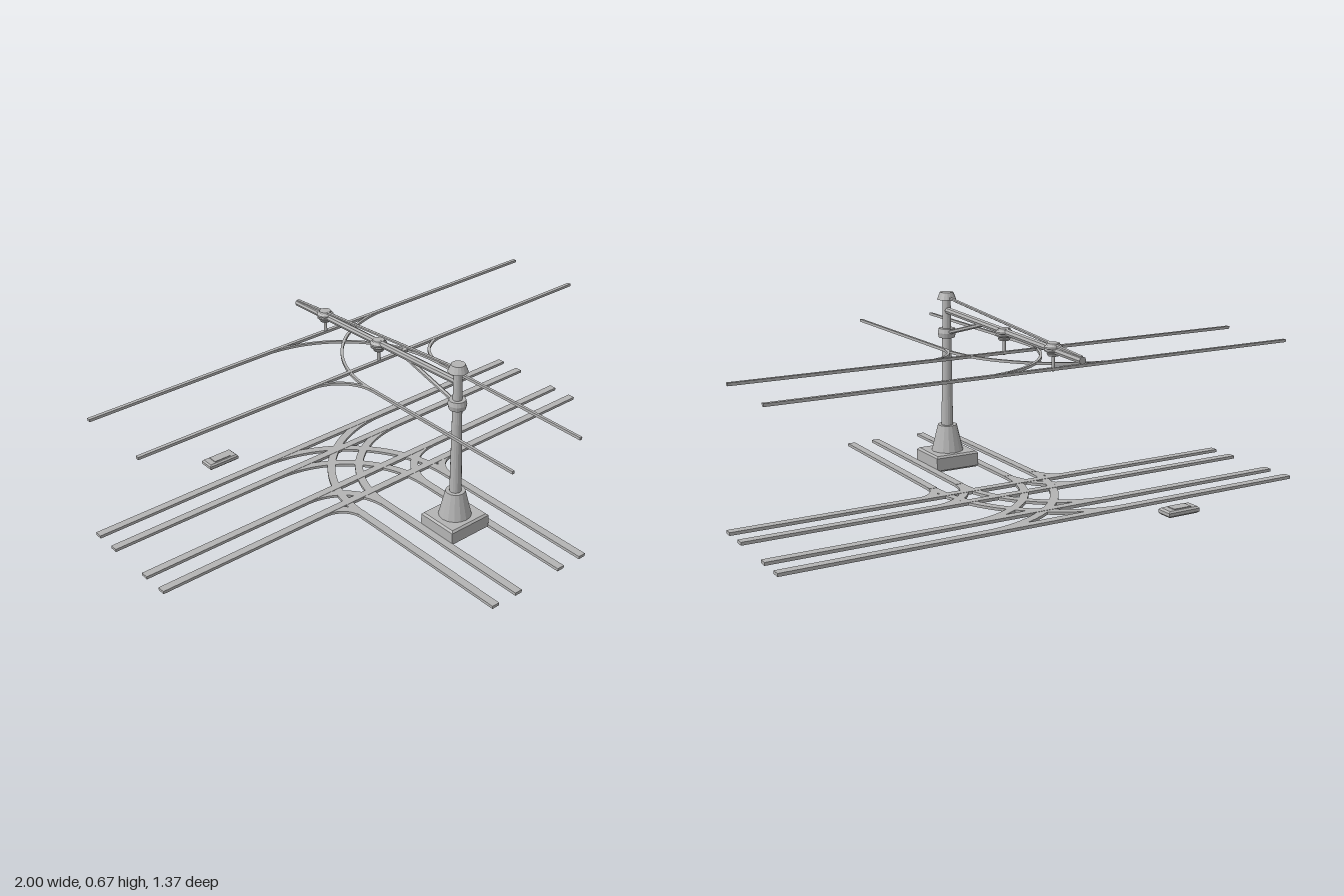
import * as THREE from 'three';

export function createModel() {
  const root = new THREE.Group();
  root.name = 'tramJunction';
  const grey = new THREE.MeshStandardMaterial({ color: 0xb4b4b4 });
  grey.name = 'plain grey';

  const group = (name) => {
    const g = new THREE.Group();
    g.name = name;
    root.add(g);
    return g;
  };
  const add = (parent, name, geometry, x = 0, y = 0, z = 0) => {
    const mesh = new THREE.Mesh(geometry, grey);
    mesh.name = name;
    mesh.position.set(x, y, z);
    parent.add(mesh);
    return mesh;
  };
  const flat = (geometry) => {
    const g = geometry.toNonIndexed();
    g.computeVertexNormals();
    return g;
  };
  // faceted rod between two points [x, y, z]
  const rod = (parent, name, a, b, r, sides = 8) => {
    const from = new THREE.Vector3(...a), to = new THREE.Vector3(...b);
    const dir = to.clone().sub(from);
    const geo = flat(new THREE.CylinderGeometry(r, r, dir.length(), sides));
    const mesh = add(parent, name, geo, ...from.clone().add(to).multiplyScalar(0.5));
    mesh.quaternion.setFromUnitVectors(new THREE.Vector3(0, 1, 0), dir.normalize());
  };
  // box with chamfered edges, standing on y = 0
  const chamferBox = (w, h, d, c) => {
    const x = w / 2 - c, y = d / 2 - c;
    const s = new THREE.Shape([[-x, -y], [x, -y], [x, y], [-x, y]].map((p) => new THREE.Vector2(...p)));
    const g = new THREE.ExtrudeGeometry(s, { depth: h - 2 * c, bevelSize: c, bevelThickness: c, bevelSegments: 1 });
    g.translate(0, 0, c);
    return g.rotateX(-Math.PI / 2);
  };

  // Track layout
  const NEAR = -0.158, FAR = -0.47, LEG = 0.155, GAUGE = 0.053, END = 0.685;
  const LEG_START = -0.02, LEG_LENGTH = END - LEG_START;
  const RAIL_W = 0.03, RAIL_Y = 0.002, RAIL_H = 0.011;
  const WIRE_W = 0.014, THIN_WIRE_W = 0.01, WIRE_Y = 0.503, WIRE_H = 0.01;
  const rails = group('rails');
  const wires = group('overheadWires');

  // Flat bar swept a quarter turn in the ground plane
  const curvedBar = (parent, name, cx, y, cz, r, width, height, start) => {
    const s = new THREE.Shape();
    s.absarc(0, 0, r + width / 2, start, start + Math.PI / 2, false);
    s.absarc(0, 0, r - width / 2, start + Math.PI / 2, start, true);
    const g = new THREE.ExtrudeGeometry(s, { depth: height, bevelEnabled: false, curveSegments: 18 });
    add(parent, name, g.rotateX(-Math.PI / 2), cx, y, cz);
  };
  const throughBar = (parent, name, y, z, width, height) =>
    add(parent, name, new THREE.BoxGeometry(2, height, width), 0, y + height / 2, z);
  const branchBar = (parent, name, x, y, width, height) =>
    add(parent, name, new THREE.BoxGeometry(width, height, LEG_LENGTH), x, y + height / 2, LEG_START + LEG_LENGTH / 2);

  // Two through tracks
  for (const z of [NEAR, FAR]) {
    for (const s of [-1, 1]) throughBar(rails, 'throughRail', RAIL_Y, z + s * GAUGE, RAIL_W, RAIL_H);
    throughBar(wires, 'throughWire', WIRE_Y, z, WIRE_W, WIRE_H);
  }

  // Branch tracks: each leg turns outward to the near track and crosses to the far one
  for (const side of [-1, 1]) {
    const crossR = LEG_START - FAR, turnR = -NEAR;
    const crossX = -side * (crossR - LEG), turnX = side * (LEG + turnR);
    const crossAngle = side < 0 ? Math.PI / 2 : 0;
    const turnAngle = side < 0 ? 0 : Math.PI / 2;
    const curveH = RAIL_H - 0.001, wireCurveH = WIRE_H - 0.001;
    for (const s of [-1, 1]) {
      branchBar(rails, 'branchRail', side * LEG + s * GAUGE, RAIL_Y, RAIL_W, RAIL_H);
      curvedBar(rails, 'crossingRail', crossX, RAIL_Y, LEG_START, crossR + s * GAUGE, RAIL_W, curveH, crossAngle);
      curvedBar(rails, 'turningRail', turnX, RAIL_Y, 0, turnR + s * GAUGE, RAIL_W, curveH, turnAngle);
    }
    branchBar(wires, 'branchWire', side * LEG, WIRE_Y, THIN_WIRE_W, WIRE_H);
    curvedBar(wires, 'crossingWire', crossX, WIRE_Y, LEG_START, crossR, THIN_WIRE_W, wireCurveH, crossAngle);
    curvedBar(wires, 'turningWire', turnX, WIRE_Y, 0, turnR, THIN_WIRE_W, wireCurveH, turnAngle);
  }

  // Mast: footing, tapered pedestal, pole, collar and cap
  const MZ = 0.259;
  const mast = group('mast');
  add(mast, 'footing', chamferBox(0.176, 0.061, 0.164, 0.007), 0, 0, MZ);
  const drum = (name, rTop, rBottom, y0, y1) =>
    add(mast, name, flat(new THREE.CylinderGeometry(rTop, rBottom, y1 - y0, 16)), 0, (y0 + y1) / 2, MZ);
  drum('pedestal', 0.036, 0.06, 0.06, 0.16);
  drum('pole', 0.015, 0.022, 0.158, 0.642);
  drum('collarLower', 0.034, 0.03, 0.495, 0.513);
  drum('collarUpper', 0.03, 0.034, 0.513, 0.53);
  drum('cap', 0.025, 0.036, 0.638, 0.665);

  // Cantilever arm with tie rod and brace
  const arm = group('arm');
  rod(arm, 'beam', [0, 0.597, 0.255], [0, 0.566, -0.64], 0.013);
  rod(arm, 'tieRod', [0, 0.645, 0.24], [0, 0.576, -0.634], 0.006, 6);
  rod(arm, 'brace', [0, 0.516, 0.24], [0, 0.584, -0.01], 0.008, 6);

  // Insulated hangers holding the wires
  const profile = [[0, 0.549], [0.018, 0.552], [0.022, 0.56], [0.018, 0.562], [0.03, 0.568],
    [0.03, 0.572], [0.02, 0.574], [0.032, 0.578], [0.031, 0.583], [0.023, 0.589], [0.021, 0.595], [0, 0.596]]
    .map(([x, y]) => new THREE.Vector2(x, y));
  for (const z of [NEAR, FAR]) {
    const hanger = group('hanger');
    add(hanger, 'insulator', flat(new THREE.LatheGeometry(profile, 16)), 0, 0, z);
    rod(hanger, 'stem', [0, 0.508, z], [0, 0.555, z], 0.006, 12);
    add(hanger, 'wireClamp', new THREE.SphereGeometry(0.008, 12, 8), 0, 0.508, z);
  }

  // Small ground cabinet beside the track
  const cabinet = group('groundCabinet');
  add(cabinet, 'cabinetBody', chamferBox(0.128, 0.023, 0.06, 0.006), -0.395, 0.001, -0.653);
  add(cabinet, 'cabinetLid', new THREE.BoxGeometry(0.07, 0.004, 0.038), -0.395, 0.025, -0.653);

  return root;
}
